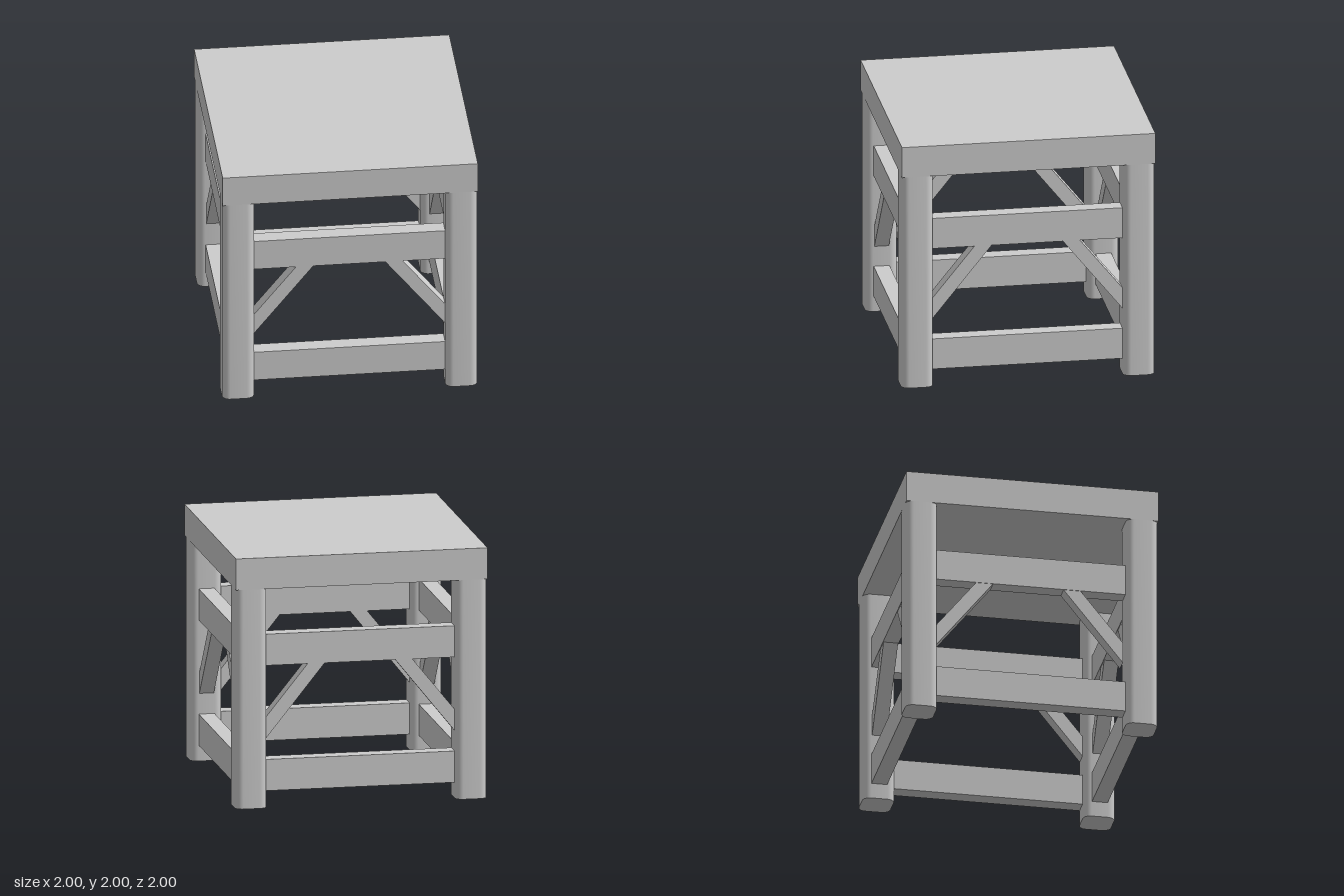
import * as THREE from 'three';
import { toCreasedNormals } from 'three/addons/utils/BufferGeometryUtils.js';

export function createModel() {
  const model = new THREE.Group();
  model.name = 'table';
  const grey = new THREE.MeshStandardMaterial({ color: 0xcccccc });
  grey.name = 'plain grey';

  function add(parent, name, geometry, x, y, z) {
    const mesh = new THREE.Mesh(geometry, grey);
    mesh.name = name;
    mesh.position.set(x, y, z);
    parent.add(mesh);
    return mesh;
  }

  // Thick square top
  add(model, 'tableTop', new THREE.BoxGeometry(2, 0.25, 2), 0, 1.875, 0);

  // Square post with rounded corners
  const h = 0.125, r = 0.06;
  const section = new THREE.Shape();
  section.absarc(h - r, h - r, r, 0, Math.PI / 2);
  section.absarc(r - h, h - r, r, Math.PI / 2, Math.PI);
  section.absarc(r - h, r - h, r, Math.PI, Math.PI * 1.5);
  section.absarc(h - r, r - h, r, Math.PI * 1.5, Math.PI * 2);
  const post = toCreasedNormals(
    new THREE.ExtrudeGeometry(section, { depth: 1.75, bevelEnabled: false, curveSegments: 4 })
      .rotateX(-Math.PI / 2), 0.7);
  for (const x of [-1, 1]) {
    for (const z of [-1, 1]) add(model, 'leg', post, x * 0.875, 0, z * 0.875);
  }

  // Diagonal brace, cut flush against the post and the upper rail
  const braceDepth = 0.115;
  function braceGeometry(side) {
    const points = [[0.75, 0.54], [0.75, 0.71], [0.415, 1.125], [0.28, 1.125]];
    const shape = new THREE.Shape(points.map(([x, y]) => new THREE.Vector2(side * x, y)));
    return new THREE.ExtrudeGeometry(shape, { depth: braceDepth, bevelEnabled: false });
  }
  const braces = [-1, 1].map(braceGeometry);
  const rail = new THREE.BoxGeometry(1.5, 0.25, 0.125);

  // Two rails and two braces on each side: front, left, back, right
  ['front', 'left', 'back', 'right'].forEach((name, i) => {
    const frame = new THREE.Group();
    frame.name = name + 'Frame';
    add(frame, 'lowerRail', rail, 0, 0.25, 0.875);
    add(frame, 'upperRail', rail, 0, 1.25, 0.875);
    // The right pair of braces sits slightly towards the back
    const shift = name === 'right' ? -0.02 : 0;
    for (const g of braces) add(frame, 'brace', g, shift, 0, 0.875 - braceDepth / 2);
    frame.rotation.y = i * Math.PI / 2;
    model.add(frame);
  });

  return model;
}
